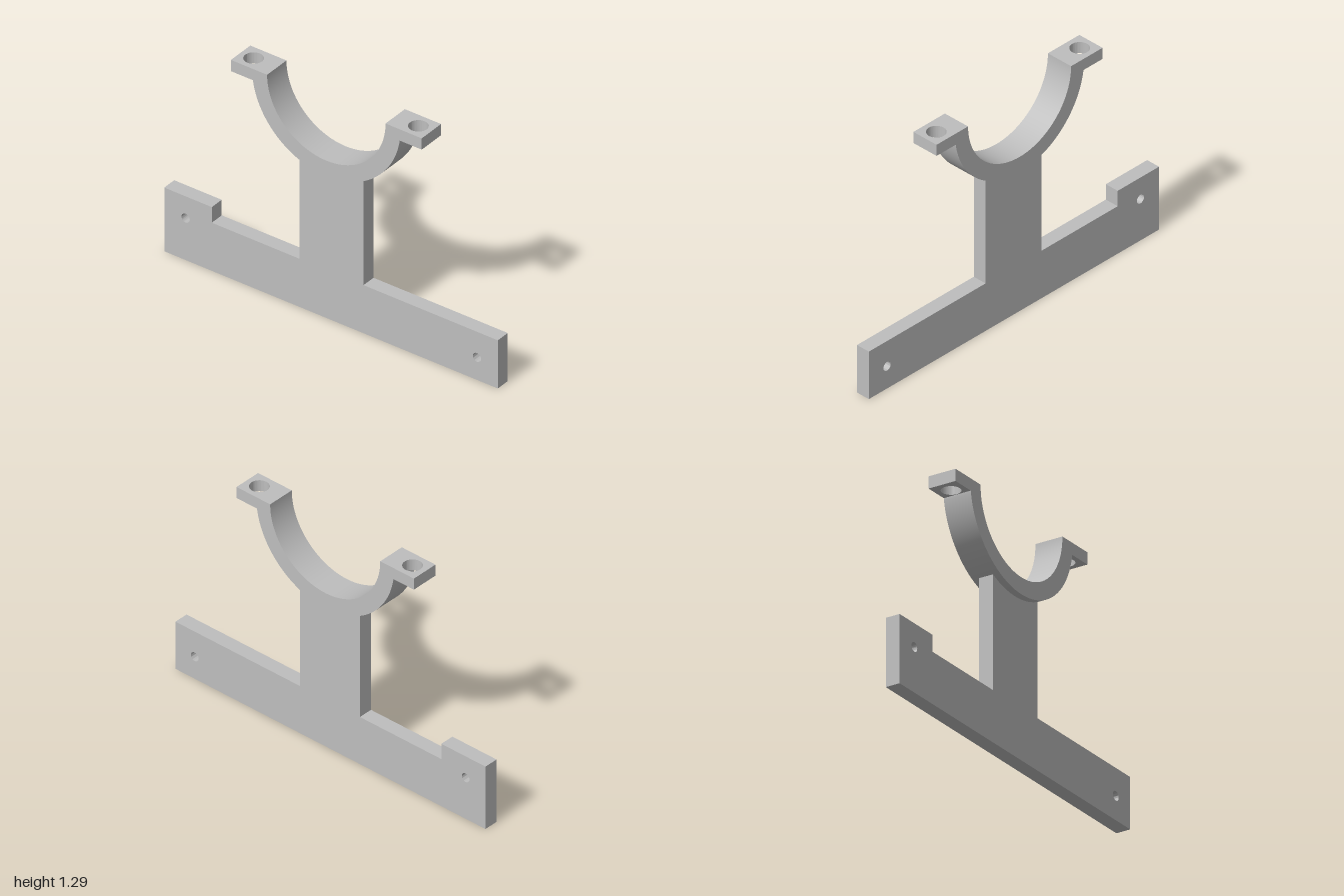
import * as THREE from 'three';
import { toCreasedNormals } from 'three/addons/utils/BufferGeometryUtils.js';

const TOP = 1.295, FLANGE_Y = 1.23;
const R_IN = 0.355, R_OUT = 0.445;

function addHole(shape, x, y, r) {
  const hole = new THREE.Path();
  hole.absarc(x, y, r, 0, Math.PI * 2, true);
  shape.holes.push(hole);
}

function extrude(shape, depth) {
  const geo = new THREE.ExtrudeGeometry(shape, { depth, bevelEnabled: false, curveSegments: 48 });
  return toCreasedNormals(geo, 0.5);
}

// Side profile (z, y) given thickness along x, centred
function sideExtrude(shape, width) {
  return extrude(shape, width).translate(0, 0, -width / 2).rotateY(-Math.PI / 2);
}

export function createModel() {
  const group = new THREE.Group();
  const grey = new THREE.MeshStandardMaterial({ color: 0xbebebe });
  grey.name = 'grey';

  const add = (name, geo) => {
    const mesh = new THREE.Mesh(geo, grey);
    mesh.name = name;
    group.add(mesh);
    return mesh;
  };

  // Base rail with raised rear end and upright stem, one flat plate
  const plate = new THREE.Shape();
  plate.moveTo(-1, 0);
  plate.lineTo(1, 0);
  plate.lineTo(1, 0.278);
  plate.lineTo(0.195, 0.278);
  plate.lineTo(0.195, 0.9);
  // stem top tucked just inside the cradle wall
  plate.quadraticCurveTo(0, 0.83, -0.19, 0.9);
  plate.lineTo(-0.19, 0.278);
  plate.lineTo(-0.715, 0.278);
  plate.lineTo(-0.715, 0.368);
  plate.lineTo(-1, 0.368);
  plate.closePath();
  addHole(plate, 0.875, 0.13, 0.025);
  addHole(plate, -0.872, 0.242, 0.025);
  add('basePlate', sideExtrude(plate, 0.08));

  // Half-ring cradle
  const a = Math.asin((TOP - FLANGE_Y) / R_OUT);
  const edge = R_OUT * Math.cos(a);
  const ring = new THREE.Shape();
  ring.moveTo(-edge, TOP);
  ring.lineTo(-edge, FLANGE_Y);
  ring.absarc(0, TOP, R_OUT, Math.PI + a, Math.PI * 2 - a, false);
  ring.lineTo(edge, TOP);
  ring.lineTo(R_IN, TOP);
  ring.absarc(0, TOP, R_IN, Math.PI * 2, Math.PI, true);
  ring.closePath();
  add('cradle', sideExtrude(ring, 0.156));

  // Drilled bolt flanges at both ends of the cradle
  const flange = new THREE.Shape();
  flange.moveTo(-0.078, edge);
  flange.lineTo(0.078, edge);
  flange.lineTo(0.078, 0.572);
  flange.lineTo(-0.078, 0.572);
  flange.closePath();
  addHole(flange, 0, 0.494, 0.05);
  const flangeGeo = extrude(flange, TOP - FLANGE_Y).rotateX(Math.PI / 2).translate(0, TOP, 0);
  add('frontFlange', flangeGeo);
  add('backFlange', flangeGeo).rotation.y = Math.PI;

  return group;
}
